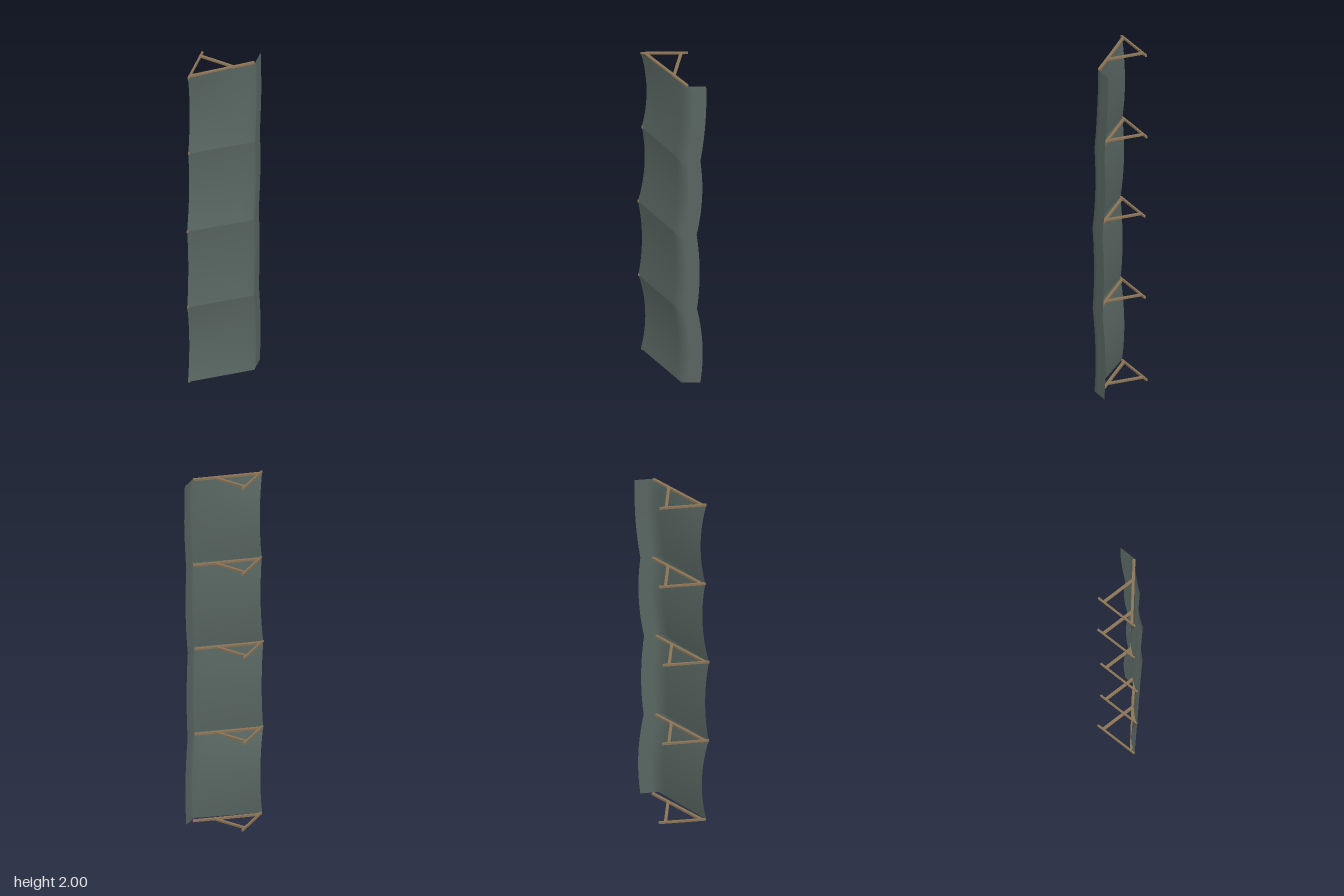
import * as THREE from 'three';

const canvas = new THREE.MeshStandardMaterial({ color: 0x586661, side: THREE.DoubleSide });
canvas.name = 'grey green canvas';
const wood = new THREE.MeshStandardMaterial({ color: 0x8b7355 });
wood.name = 'brown wood';

// One entry per frame: height, shift in z, canvas edge z at the wall and at the valance tip
const stations = [
  { y: 0.006, shift: -0.004, wall: 0.162, tip: -0.15, x: 0.151 },
  { y: 0.503, shift: 0.014, wall: 0.175, tip: -0.132, x: 0.151 },
  { y: 1.0, shift: 0.016, wall: 0.177, tip: -0.13, x: 0.151 },
  { y: 1.497, shift: -0.004, wall: 0.157, tip: -0.15, x: 0.151 },
  { y: 1.994, shift: 0, wall: 0.162, tip: -0.181, x: 0.146 },
];
// Sag of each bay at the wall edge and at the valance
const sags = [[0.03, 0.02], [0.02, 0.015], [0.025, 0.019], [0.028, 0.011]];

// Square bar lying in a horizontal plane between two (x, z) points
function bar(name, [x0, z0], [x1, z1], width, depth) {
  const length = Math.hypot(x1 - x0, z1 - z0);
  const mesh = new THREE.Mesh(new THREE.BoxGeometry(length, depth, width), wood);
  mesh.position.set((x0 + x1) / 2, 0, (z0 + z1) / 2);
  mesh.rotation.y = -Math.atan2(z1 - z0, x1 - x0);
  mesh.name = name;
  return mesh;
}

// Triangular support: wall post, sloping beam and brace
function makeFrame(s) {
  const frame = new THREE.Group();
  frame.name = 'supportFrame';
  frame.add(
    bar('wallPost', [-0.15, -0.09], [-0.15, 0.163], 0.01, 0.012),
    bar('slopingBeam', [-0.148, 0.139], [0.141, -0.082], 0.015, 0.011),
    bar('brace', [-0.148, -0.053], [0.045, -0.012], 0.016, 0.01),
  );
  frame.position.set(0, s.y, s.shift);
  return frame;
}

// Sheet between two frames: slope, then valance, sagging in the middle
function makeBay(a, b, [sagWall, sagTip]) {
  const rows = 14, slopeSteps = 7, valanceSteps = 3;
  const cols = slopeSteps + valanceSteps;
  const positions = [], indices = [];
  for (let j = 0; j <= rows; j++) {
    const t = j / rows;
    const mix = (key) => THREE.MathUtils.lerp(a[key], b[key], t);
    const bulge = 4 * t * (1 - t);
    const wall = mix('wall') - sagWall * bulge;
    const tip = mix('tip') - sagTip * bulge;
    const corner = tip + 0.1;
    const edge = t < 0.5 ? THREE.MathUtils.lerp(a.x, 0.151, 2 * t) : THREE.MathUtils.lerp(0.151, b.x, 2 * t - 1);
    for (let i = 0; i <= cols; i++) {
      const u = Math.min(i / slopeSteps, 1);
      const v = Math.max((i - slopeSteps) / valanceSteps, 0);
      positions.push(
        THREE.MathUtils.lerp(-0.153, edge, u),
        mix('y'),
        THREE.MathUtils.lerp(wall, corner, u) + (tip - corner) * v,
      );
      if (i < cols && j < rows) {
        const p = j * (cols + 1) + i, q = p + cols + 1;
        indices.push(p, p + 1, q, p + 1, q + 1, q);
      }
    }
  }
  const geometry = new THREE.BufferGeometry();
  geometry.setAttribute('position', new THREE.Float32BufferAttribute(positions, 3));
  geometry.setIndex(indices);
  geometry.computeVertexNormals();
  const mesh = new THREE.Mesh(geometry, canvas);
  mesh.name = 'canvasBay';
  return mesh;
}

export function createModel() {
  const awning = new THREE.Group();
  awning.name = 'awning';
  stations.forEach((s) => awning.add(makeFrame(s)));
  sags.forEach((sag, i) => awning.add(makeBay(stations[i], stations[i + 1], sag)));
  return awning;
}
